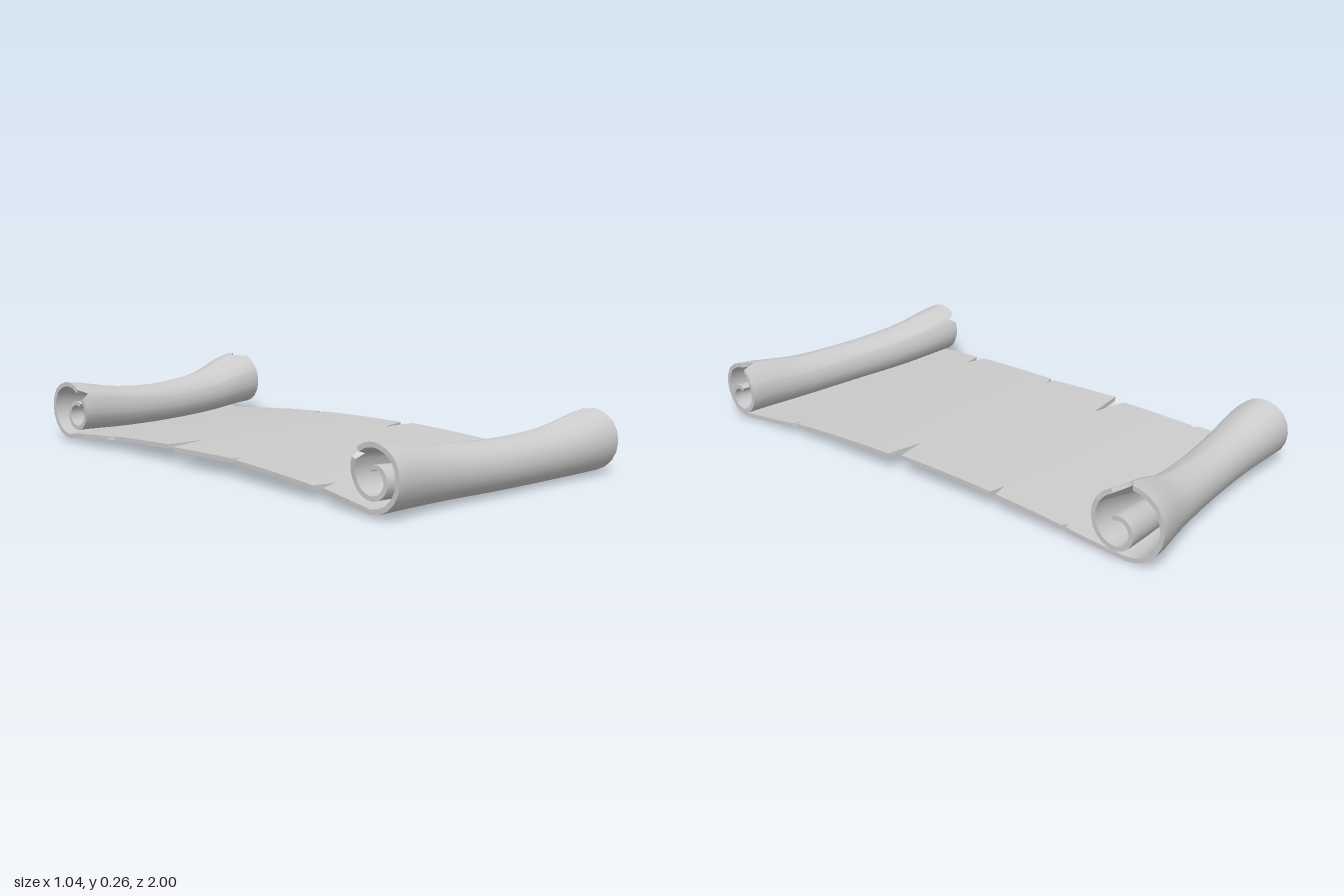
import * as THREE from 'three';
import { mergeGeometries } from 'three/addons/utils/BufferGeometryUtils.js';

// The sheet is swept along a station k: |k| < 0.72 is the open sheet (k = z),
// |k| = 1..4.1 is a roll, turned by (|k| - 1) * PI.
const END = 4.1, COLS = 24, HALF = 0.008;

// Torn edges as [station, x]; three close points make a notch.
const LEFT = [
  [-4.1, -0.49], [-2.6, -0.5], [-2.32, -0.51], [-2.25, -0.48], [-2.18, -0.515], [-1, -0.52],
  [-0.69, -0.52], [-0.54, -0.505], [-0.525, -0.485], [-0.515, -0.495],
  [-0.21, -0.48], [-0.185, -0.33], [-0.155, -0.5],
  [0.135, -0.475], [0.142, -0.435], [0.155, -0.48],
  [0.545, -0.5], [0.565, -0.42], [0.585, -0.495],
  [0.72, -0.515], [1, -0.52], [2.18, -0.52], [2.25, -0.48], [2.32, -0.51], [2.6, -0.5], [4.1, -0.49],
];
const RIGHT = [
  [-4.1, 0.43], [-2.3, 0.43], [-2.1, 0.425], [-2.03, 0.36], [-1.96, 0.39], [-1, 0.395],
  [-0.65, 0.405], [-0.64, 0.385], [-0.63, 0.405],
  [-0.36, 0.415], [-0.345, 0.355], [-0.335, 0.415],
  [0.07, 0.43], [0.095, 0.31], [0.115, 0.45],
  [0.6, 0.465], [0.61, 0.435], [0.62, 0.47],
  [0.72, 0.48], [1, 0.49], [1.95, 0.49], [2.02, 0.45], [2.09, 0.51], [2.3, 0.52], [4.1, 0.52],
];

// Roll centre and outer radius at five even steps from left edge to right edge
const ROLLS = {
  '-1': { z: [0.78, 0.793, 0.817, 0.845, 0.873], r: [0.105, 0.086, 0.08, 0.092, 0.126] },
  '1': { z: [0.805, 0.82, 0.85, 0.868, 0.877], r: [0.105, 0.087, 0.08, 0.085, 0.105] },
};

const lerp = THREE.MathUtils.lerp;

function edgeAt(list, k) {
  for (let i = 1; i < list.length; i++) {
    const [k0, x0] = list[i - 1], [k1, x1] = list[i];
    if (k <= k1) return lerp(x0, x1, (k - k0) / (k1 - k0));
  }
  return list[list.length - 1][1];
}

// Smooth curve through evenly spaced values
function smoothAt(values, u) {
  const n = values.length - 1, i = Math.min(Math.floor(u * n), n - 1), t = u * n - i;
  const v = (j) => values[Math.max(0, Math.min(n, j))];
  const a = v(i - 1), b = v(i), c = v(i + 1), d = v(i + 2);
  return b + 0.5 * t * (c - a + t * (2 * a - 5 * b + 4 * c - d + t * (3 * (b - c) + d - a)));
}

// Middle of the sheet at station k and fraction u across
function sheetPoint(k, u) {
  const x = lerp(edgeAt(LEFT, k), edgeAt(RIGHT, k), u);
  const base = lerp(0.02, 0.009, u);
  if (Math.abs(k) < 1) {
    return new THREE.Vector3(x, base + (0.06 - base) * (1 - (k / 0.84) ** 2), k);
  }
  const dir = Math.sign(k), roll = ROLLS[dir];
  const turn = Math.abs(k) - 1, a = turn * Math.PI;
  const t = Math.max(0, (turn - 0.7) / 2.4);
  const R = smoothAt(roll.r, u), r = lerp(R, 0.03, t);
  return new THREE.Vector3(
    x,
    base + R - 0.015 * t - r * Math.cos(a),
    dir * (smoothAt(roll.z, u) - 0.02 * t + r * Math.sin(a)),
  );
}

// Surface through a grid of points
function gridGeometry(rows) {
  const w = rows[0].length, index = [];
  for (let i = 0; i < rows.length - 1; i++) {
    for (let j = 0; j < w - 1; j++) {
      const a = i * w + j, b = a + 1, c = a + w, d = c + 1;
      index.push(a, c, b, b, c, d);
    }
  }
  const geometry = new THREE.BufferGeometry().setFromPoints(rows.flat());
  geometry.setIndex(index);
  return geometry;
}

function smooth(rows) {
  const geometry = gridGeometry(rows);
  geometry.computeVertexNormals();
  return geometry.toNonIndexed();
}

function faceted(rows) {
  const geometry = gridGeometry(rows).toNonIndexed();
  geometry.computeVertexNormals();
  return geometry;
}

export function createModel() {
  // Stations: even steps plus every corner of the torn edges
  const stations = [...LEFT, ...RIGHT].map((p) => p[0]);
  for (let z = -0.72; z < 0.73; z += 0.12) stations.push(z);
  for (let k = 1; k < END; k += 0.1) stations.push(k, -k);
  stations.sort((a, b) => a - b);
  const ks = stations.filter((k, i) => i === 0 || k - stations[i - 1] > 1e-4);

  // Offset the middle surface both ways for thickness
  const middle = ks.map((k) =>
    Array.from({ length: COLS + 1 }, (_, j) => sheetPoint(k, j / COLS)));
  const offset = (distance) => middle.map((row, i) => row.map((p, j) => {
    const before = middle[Math.max(i - 1, 0)][j];
    const after = middle[Math.min(i + 1, middle.length - 1)][j];
    const normal = new THREE.Vector3(0, after.z - before.z, before.y - after.y).normalize();
    return p.clone().addScaledVector(normal, distance);
  }));
  const top = offset(HALF), bottom = offset(-HALF);
  const last = top.length - 1;

  const geometry = mergeGeometries([
    smooth(top),
    smooth(bottom.map((row) => [...row].reverse())),
    faceted(top.map((row, i) => [bottom[i][0], row[0]])),
    faceted(top.map((row, i) => [row[COLS], bottom[i][COLS]])),
    faceted([bottom[0], top[0]]),
    faceted([top[last], bottom[last]]),
  ]);

  const material = new THREE.MeshStandardMaterial({ color: 0xcccccc, side: THREE.DoubleSide });
  const sheet = new THREE.Mesh(geometry, material);
  sheet.name = 'parchmentSheet';

  const group = new THREE.Group();
  group.name = 'scroll';
  group.add(sheet);
  return group;
}
